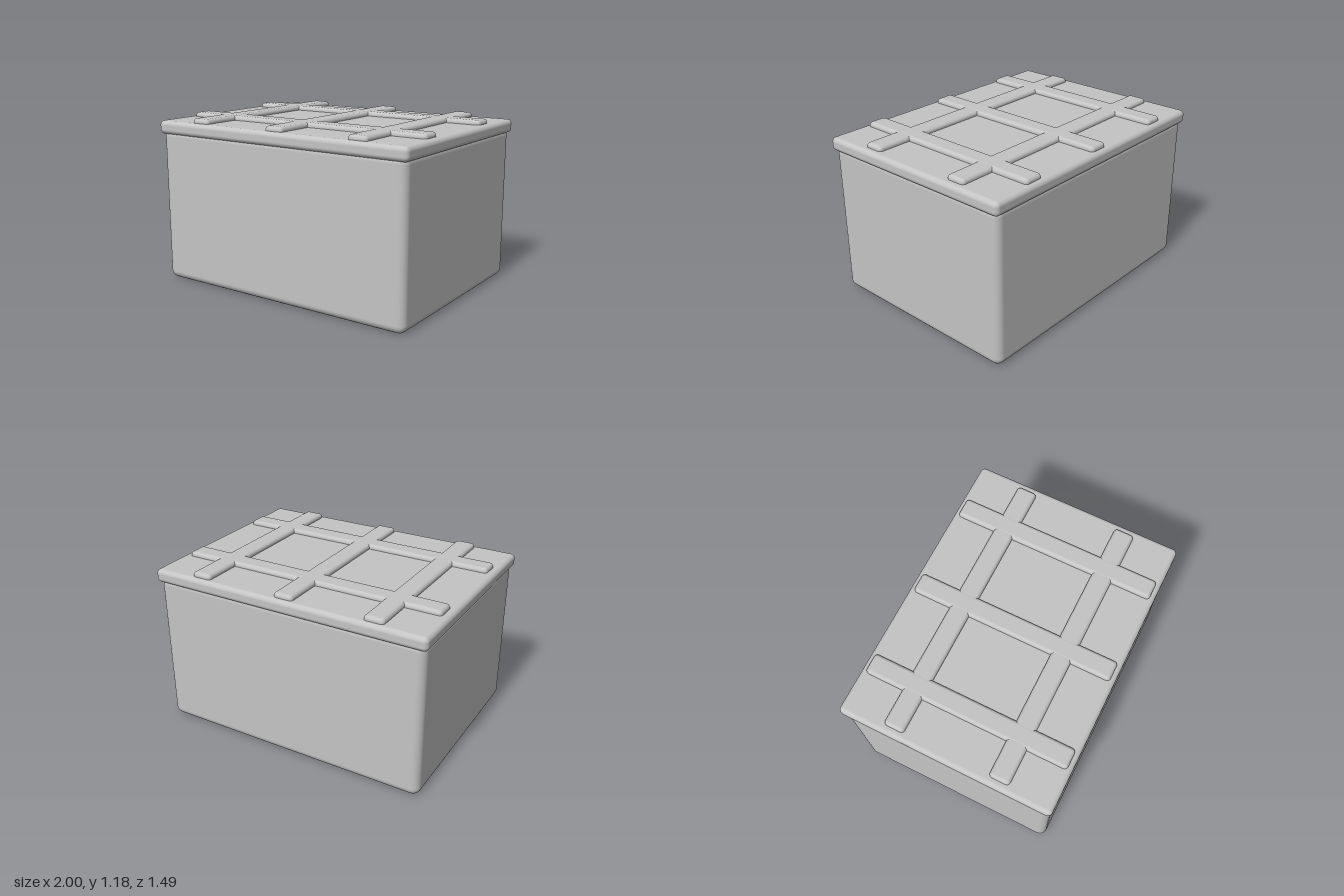
import * as THREE from 'three';
import { RoundedBoxGeometry } from 'three/addons/geometries/RoundedBoxGeometry.js';

export function createModel() {
  const model = new THREE.Group();
  model.name = 'crate';
  const grey = new THREE.MeshStandardMaterial({ color: 0xc4c4c4 });
  grey.name = 'light grey';

  // Rounded block spanning bottom..top in y, centred on (x, z)
  function block(name, width, depth, bottom, top, radius, x = 0, z = 0) {
    const geometry = new RoundedBoxGeometry(width, top - bottom, depth, 4, radius);
    const mesh = new THREE.Mesh(geometry, grey);
    mesh.name = name;
    mesh.position.set(x, (bottom + top) / 2, z);
    model.add(mesh);
  }

  // Box and overhanging lid
  block('body', 1.964, 1.456, 0, 1.09, 0.055);
  block('lid', 2, 1.488, 1.053, 1.147, 0.032);

  // Raised lattice on the lid: three ribs front to back, two side to side
  for (const x of [-0.635, 0, 0.635]) block('lidRibLengthwise', 0.14, 1.42, 1.105, 1.179, 0.025, x, 0);
  for (const z of [-0.367, 0.367]) block('lidRibCrosswise', 1.9, 0.14, 1.105, 1.178, 0.025, 0, z);

  return model;
}
